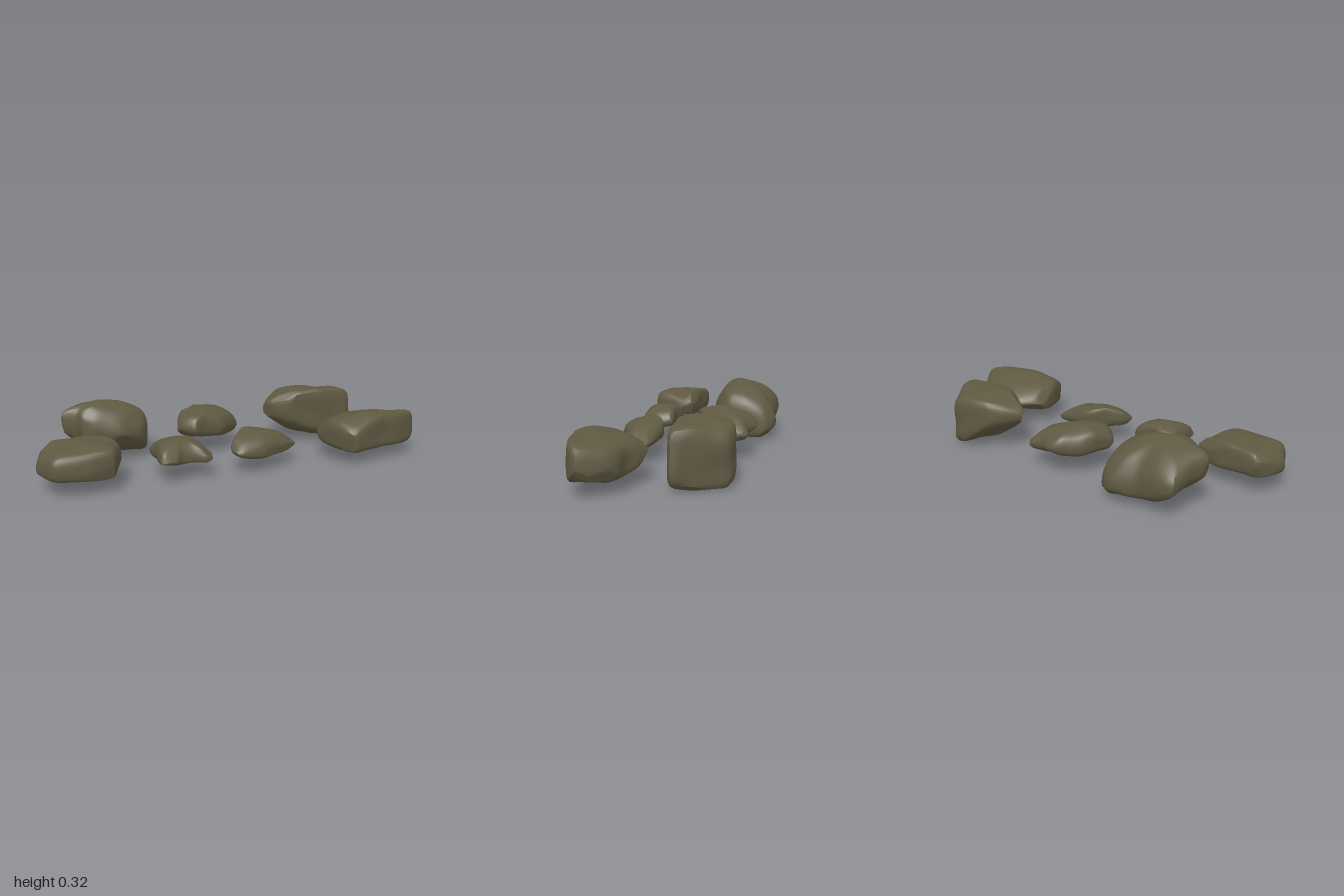
import * as THREE from 'three';
import { toCreasedNormals } from 'three/addons/utils/BufferGeometryUtils.js';

const stone = new THREE.MeshStandardMaterial({ color: 0x5f5942 });
stone.name = 'mossy stone';

function seeded(seed) {
  let s = seed * 7919 + 17;
  return () => ((s = (s * 16807) % 2147483647) / 2147483647);
}

// A rock grown from an outline of [x, z, low rim, high rim] between a bottom and a top pole [x, z, y].
// rimLow and rimHigh set how far out the rims sit: near 1 gives upright walls.
function rock(name, seed, [rimLow, rimHigh], bottom, top, outline) {
  const loop = (f) => new THREE.CatmullRomCurve3(outline.map(f), true, 'catmullrom', 0.35);
  const plan = loop((p) => new THREE.Vector3(p[0], 0, p[1]));
  const rims = loop((p) => new THREE.Vector3(p[2], p[3], 0));
  const cols = outline.length * 4, rows = 28, pts = [], mix = THREE.MathUtils.lerp;
  const B = new THREE.Vector3(bottom[0], bottom[2], bottom[1]);
  const T = new THREE.Vector3(top[0], top[2], top[1]);
  for (let i = 0; i < cols; i++) {
    const p = plan.getPoint(i / cols), { x: lo, y: hi } = rims.getPoint(i / cols);
    const at = (pole, u, y) => new THREE.Vector3(mix(pole.x, p.x, u), y, mix(pole.z, p.z, u));
    const rib = new THREE.CatmullRomCurve3([
      B, at(B, 0.5, mix(B.y, lo, 0.35)), at(B, rimLow, lo), at(B, 1, mix(lo, hi, 0.4)),
      at(T, rimHigh, hi), at(T, 0.6, mix(T.y, hi, 0.4)), T,
    ], false, 'centripetal');
    for (let j = 0; j <= rows; j++) pts.push(rib.getPoint(j / rows));
  }

  // Low swells, then shallow flat chips
  const rnd = seeded(seed), centre = B.clone().lerp(T, 0.5);
  const ph = [rnd() * 6, rnd() * 6, rnd() * 6];
  for (const v of pts) {
    const n = Math.sin(v.x * 27 + ph[0]) * Math.sin(v.z * 31 + ph[1]) + 0.6 * Math.sin(v.y * 38 + v.x * 22 + ph[2]);
    v.addScaledVector(v.clone().sub(centre).normalize(), 0.003 * n);
  }
  for (let k = 0; k < 10; k++) {
    const a = rnd() * 6.283, n = new THREE.Vector3(Math.cos(a), rnd() * 2 - 0.9, Math.sin(a)).normalize();
    const reach = Math.max(...pts.map((v) => v.clone().sub(centre).dot(n)));
    const limit = reach * (0.98 - 0.04 * rnd());
    for (const v of pts) {
      const over = v.clone().sub(centre).dot(n) - limit;
      if (over > 0) v.addScaledVector(n, -over);
    }
  }

  const index = [];
  for (let i = 0; i < cols; i++) {
    for (let j = 0; j < rows; j++) {
      const a = i * (rows + 1) + j, b = ((i + 1) % cols) * (rows + 1) + j;
      if (j > 0) index.push(a, a + 1, b);
      if (j < rows - 1) index.push(b, a + 1, b + 1);
    }
  }
  const geo = new THREE.BufferGeometry().setFromPoints(pts);
  geo.setIndex(index);
  const mesh = new THREE.Mesh(toCreasedNormals(geo, 0.5), stone);
  mesh.name = name;
  return mesh;
}

export function createModel() {
  const group = new THREE.Group();
  group.name = 'rocks';
  group.add(
    // Back row
    rock('backRightBoulder', 1, [0.92, 0.92], [-0.52, -0.26, 0.018], [-0.62, -0.18, 0.325], [
      [-0.775, -0.385, 0.12, 0.21], [-0.68, -0.395, 0.09, 0.21], [-0.58, -0.375, 0.06, 0.2],
      [-0.53, -0.39, 0.06, 0.18], [-0.44, -0.415, 0.07, 0.16], [-0.365, -0.365, 0.03, 0.17],
      [-0.36, -0.25, 0.025, 0.23], [-0.375, -0.15, 0.05, 0.24], [-0.43, -0.08, 0.09, 0.22],
      [-0.53, -0.045, 0.12, 0.21], [-0.63, -0.055, 0.12, 0.24], [-0.72, -0.08, 0.12, 0.27],
      [-0.75, -0.14, 0.12, 0.28], [-0.825, -0.17, 0.16, 0.27], [-0.79, -0.25, 0.14, 0.26],
    ]),
    rock('backMiddleRock', 2, [0.9, 0.9], [-0.03, -0.18, 0.085], [-0.06, -0.19, 0.245], [
      [-0.225, -0.1, 0.12, 0.2], [-0.2, -0.18, 0.12, 0.22], [-0.15, -0.27, 0.11, 0.2],
      [-0.08, -0.34, 0.12, 0.2], [-0.02, -0.36, 0.13, 0.18], [0.05, -0.33, 0.11, 0.18],
      [0.13, -0.335, 0.11, 0.16], [0.155, -0.28, 0.1, 0.16], [0.15, -0.2, 0.09, 0.17],
      [0.08, -0.12, 0.09, 0.19], [0.01, -0.06, 0.1, 0.19], [-0.09, -0.04, 0.11, 0.22],
      [-0.15, -0.015, 0.12, 0.21], [-0.19, -0.05, 0.12, 0.21],
    ]),
    rock('backLeftBoulder', 3, [0.96, 0.94], [0.63, -0.24, 0.003], [0.53, -0.19, 0.302], [
      [0.3, -0.18, 0.16, 0.22], [0.34, -0.24, 0.16, 0.235], [0.43, -0.32, 0.14, 0.265],
      [0.52, -0.345, 0.08, 0.265], [0.6, -0.355, 0.03, 0.255], [0.67, -0.34, 0.015, 0.25],
      [0.72, -0.28, 0.015, 0.255], [0.765, -0.2, 0.02, 0.275], [0.81, -0.12, 0.03, 0.27],
      [0.77, -0.09, 0.035, 0.28], [0.67, -0.09, 0.05, 0.29], [0.56, -0.09, 0.075, 0.295],
      [0.44, -0.095, 0.115, 0.285], [0.36, -0.14, 0.14, 0.26],
    ]),
    // Front row
    rock('frontRightRock', 4, [0.95, 0.91], [-0.78, 0.23, 0.07], [-0.79, 0.22, 0.23], [
      [-1, 0.23, 0.095, 0.17], [-0.98, 0.14, 0.1, 0.18], [-0.94, 0.083, 0.1, 0.2],
      [-0.88, 0.08, 0.1, 0.21], [-0.75, 0.095, 0.09, 0.22], [-0.597, 0.105, 0.1, 0.2],
      [-0.593, 0.18, 0.1, 0.18], [-0.625, 0.27, 0.08, 0.2], [-0.66, 0.35, 0.08, 0.2],
      [-0.75, 0.367, 0.08, 0.2], [-0.93, 0.363, 0.09, 0.19], [-0.97, 0.3, 0.09, 0.18],
    ]),
    rock('frontPeakedStone', 5, [0.93, 0.88], [-0.3, 0.22, 0.085], [-0.33, 0.21, 0.202], [
      [-0.44, 0.14, 0.1, 0.16], [-0.4, 0.12, 0.1, 0.17], [-0.34, 0.125, 0.1, 0.18],
      [-0.29, 0.137, 0.1, 0.18], [-0.2, 0.137, 0.1, 0.16], [-0.18, 0.2, 0.09, 0.15],
      [-0.155, 0.24, 0.09, 0.13], [-0.155, 0.28, 0.09, 0.12], [-0.19, 0.325, 0.09, 0.13],
      [-0.25, 0.305, 0.09, 0.15], [-0.32, 0.305, 0.09, 0.16], [-0.36, 0.345, 0.1, 0.14],
      [-0.435, 0.35, 0.11, 0.15], [-0.44, 0.28, 0.1, 0.17], [-0.43, 0.21, 0.1, 0.18],
    ]),
    rock('frontLongStone', 6, [0.92, 0.9], [0.13, 0.21, 0.075], [0.08, 0.2, 0.2], [
      [-0.06, 0.31, 0.1, 0.14], [-0.05, 0.25, 0.1, 0.17], [0.02, 0.17, 0.1, 0.2],
      [0.07, 0.12, 0.1, 0.19], [0.13, 0.097, 0.1, 0.17], [0.22, 0.107, 0.09, 0.15],
      [0.325, 0.135, 0.085, 0.12], [0.33, 0.2, 0.085, 0.11], [0.29, 0.24, 0.085, 0.13],
      [0.22, 0.27, 0.08, 0.14], [0.16, 0.3, 0.08, 0.15], [0.09, 0.325, 0.08, 0.15],
      [-0.02, 0.337, 0.09, 0.14],
    ]),
    rock('frontLeftBoulder', 7, [0.96, 0.93], [0.72, 0.21, 0.062], [0.67, 0.28, 0.255], [
      [0.47, 0.2, 0.09, 0.185], [0.48, 0.13, 0.1, 0.165], [0.55, 0.06, 0.11, 0.165],
      [0.62, 0.037, 0.12, 0.17], [0.7, 0.055, 0.09, 0.18], [0.78, 0.085, 0.07, 0.19],
      [0.87, 0.1, 0.07, 0.19], [0.93, 0.14, 0.07, 0.2], [1, 0.24, 0.09, 0.22],
      [0.96, 0.29, 0.075, 0.23], [0.85, 0.333, 0.075, 0.235], [0.76, 0.343, 0.075, 0.24],
      [0.66, 0.38, 0.08, 0.22], [0.55, 0.41, 0.08, 0.18], [0.5, 0.31, 0.08, 0.215],
    ]),
  );
  return group;
}
